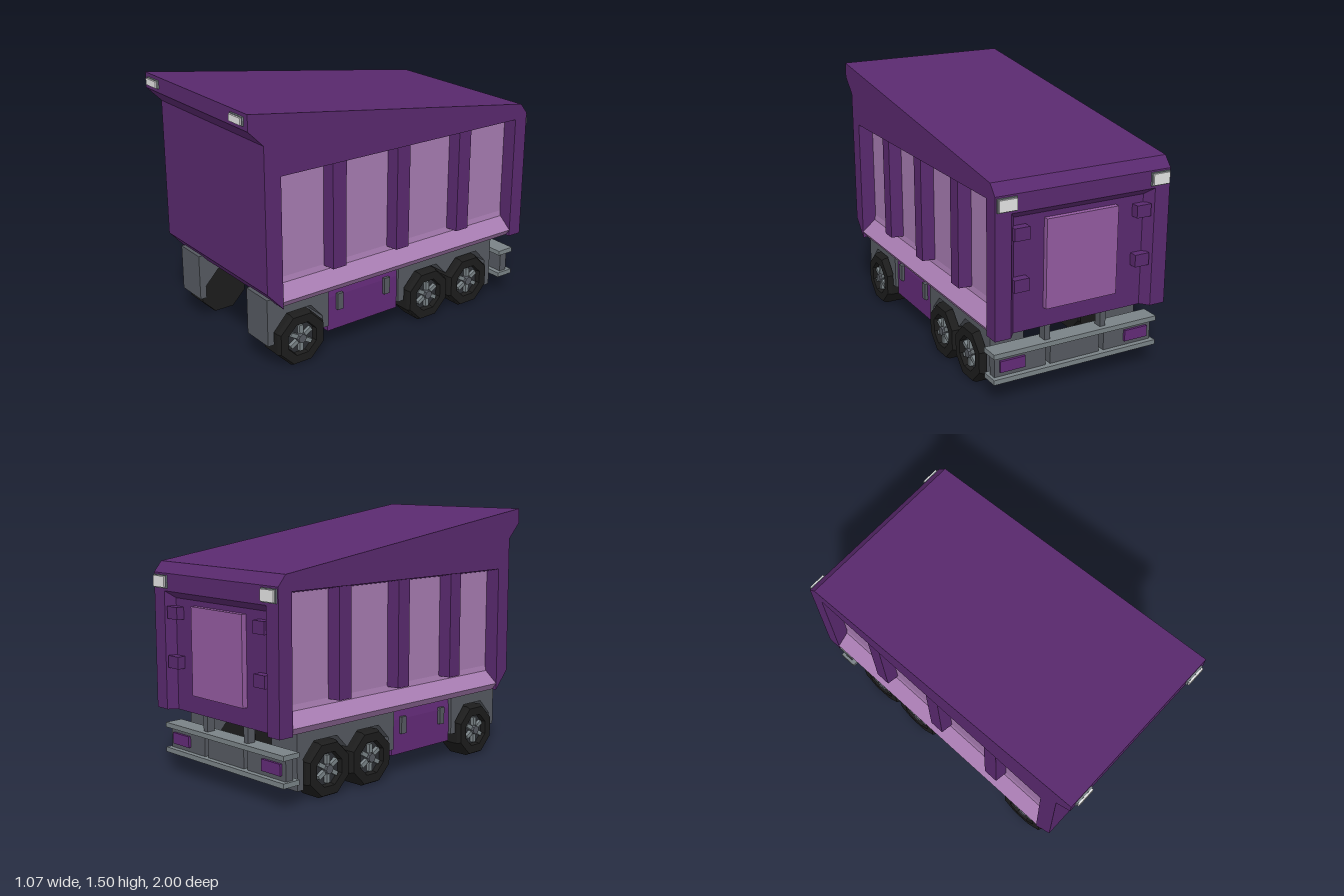
import * as THREE from 'three';

const mat = (name, color, side = THREE.FrontSide) => {
  const m = new THREE.MeshStandardMaterial({ color, side, flatShading: true });
  m.name = name;
  return m;
};

export function createModel() {
  const purple = mat('purple', 0x59296e, THREE.DoubleSide);
  const brightPurple = mat('bright purple', 0x622a77);
  const lilac = mat('lilac', 0xa67bb0);
  const plum = mat('plum', 0x925a9f);
  const darkGrey = mat('dark grey', 0x555960);
  const lightGrey = mat('light grey', 0x798286);
  const tyreBlack = mat('tyre black', 0x1c1c1c);
  const rimGrey = mat('rim grey', 0x2c2f33);
  const lampWhite = mat('lamp white', 0xe2e2e2);

  const root = new THREE.Group();
  root.name = 'tipperTrailer';

  const add = (name, geo, material, parent = root) => {
    const mesh = new THREE.Mesh(geo, material);
    mesh.name = name;
    parent.add(mesh);
    return mesh;
  };
  // Box from its limits on each axis
  const box = (name, material, [x0, x1], [y0, y1], [z0, z1]) => {
    const g = new THREE.BoxGeometry(Math.abs(x1 - x0), y1 - y0, z1 - z0);
    g.translate((x0 + x1) / 2, (y0 + y1) / 2, (z0 + z1) / 2);
    return add(name, g, material);
  };
  const extrude = (pts, depth) => new THREE.ExtrudeGeometry(
    new THREE.Shape(pts.map(p => new THREE.Vector2(p[0], p[1]))), { depth, bevelEnabled: false });
  // Side profile (z, y) extruded across x
  const acrossX = (name, material, pts, xa, xb) => {
    const x0 = Math.min(xa, xb), x1 = Math.max(xa, xb);
    return add(name, extrude(pts, x1 - x0).rotateY(-Math.PI / 2).translate(x1, 0, 0), material);
  };
  // Cross-section (x, y) extruded along z
  const alongZ = (name, material, pts, z0, z1, s) =>
    add(name, extrude(pts.map(([x, y]) => [x * s, y]), z1 - z0).translate(0, 0, z0), material);
  // Plan (x, z) extruded along y
  const alongY = (name, material, pts, y0, y1, s) =>
    add(name, extrude(pts.map(([x, z]) => [x * s, -z]), y1 - y0).rotateX(-Math.PI / 2).translate(0, y0, 0), material);
  // Open sheet following a side profile (z, y) from x = -w to x = w
  const sheet = (name, material, pts, w) => {
    const pos = [];
    for (let i = 0; i + 1 < pts.length; i++) {
      const [[z0, y0], [z1, y1]] = [pts[i], pts[i + 1]];
      pos.push(-w, y0, z0, w, y0, z0, w, y1, z1, -w, y0, z0, w, y1, z1, -w, y1, z1);
    }
    const g = new THREE.BufferGeometry();
    g.setAttribute('position', new THREE.Float32BufferAttribute(pos, 3));
    g.computeVertexNormals();
    return add(name, g, material);
  };

  const W = 0.535, IN = 0.44;

  // Hollow container, open underneath: front, roof and recessed tailgate
  sheet('containerShell', purple, [
    [0.79, 0.39], [0.89, 0.5], [0.89, 1.32], [0.98, 1.41], [0.98, 1.5],
    [-0.93, 1.23], [-0.98, 1.17], [-0.98, 1.07], [-0.93, 1.03], [-0.93, 0.39]], IN);
  box('tailgatePanel', plum, [-0.22, 0.22], [0.5, 1.0], [-0.962, -0.931]);

  // Octagonal tyre profile (radius, height along the axle) and rim
  const V = (x, y) => new THREE.Vector2(x, y);
  const turned = (pts) => new THREE.LatheGeometry(pts, 8, Math.PI / 8).rotateZ(-Math.PI / 2);
  const tyreGeo = turned([V(0, -0.078), V(0.16, -0.078), V(0.164, -0.07), V(0.164, 0.055),
    V(0.152, 0.077), V(0.1, 0.077), V(0.095, 0.045)]);
  const rimGeo = turned([V(0.095, 0.045), V(0, 0.045)]);
  const hubGeo = new THREE.CylinderGeometry(0.026, 0.03, 0.04, 8).rotateZ(-Math.PI / 2).translate(0.06, 0, 0);

  const addWheel = (s, z) => {
    const wheel = new THREE.Group();
    wheel.name = 'wheel';
    wheel.position.set(s * 0.42, 0.153, z);
    if (s < 0) wheel.rotation.y = Math.PI;
    add('tyre', tyreGeo, tyreBlack, wheel);
    add('rim', rimGeo, rimGrey, wheel);
    add('hub', hubGeo, darkGrey, wheel);
    for (let i = 0; i < 6; i++) {
      const spoke = new THREE.BoxGeometry(0.025, 0.05, 0.024).translate(0.055, 0.053, 0);
      add('spoke', spoke.rotateX(i * Math.PI / 3), lightGrey, wheel);
    }
    root.add(wheel);
  };

  for (const s of [1, -1]) {
    // Side frame around the recessed wall, open at the bottom
    acrossX('sideFrame', purple, [
      [0.98, 1.5], [0.98, 1.41], [0.89, 1.32], [0.89, 0.5], [0.79, 0.39],
      [0.79, 1.14], [-0.89, 1.14], [-0.89, 0.39],
      [-0.98, 0.39], [-0.98, 1.17], [-0.93, 1.23]], s * IN, s * W);
    box('sidePanel', lilac, [s * 0.435, s * 0.445], [0.45, 1.14], [-0.89, 0.79]);
    alongZ('recessLip', purple, [[IN, 1.14], [W, 1.14], [IN, 1.12]], -0.89, 0.79, s);
    alongZ('sideLedge', lilac, [[IN, 0.555], [0.452, 0.5], [W, 0.43], [0.505, 0.39], [IN, 0.39]], -0.89, 0.79, s);

    // Upright ribs with slanted flanks, showing through the wall inside
    for (const z of [0.405, -0.04, -0.5]) {
      alongY('sideRib', purple,
        [[0.432, z - 0.057], [0.52, z - 0.045], [0.52, z + 0.045], [0.432, z + 0.057]], 0.525, 1.14, s);
    }

    // Tailgate surround and hinges
    alongY('tailgateReveal', purple, [[IN, -0.98], [IN, -0.93], [0.4, -0.93]], 0.39, 1.07, s);
    for (const y of [0.67, 0.95]) {
      box('hinge', purple, [s * 0.33, s * 0.42], [y - 0.035, y + 0.035], [-0.978, -0.93]);
    }

    // Marker lamps
    box('frontLampFrame', lightGrey, [s * 0.38, s * 0.5], [1.433, 1.48], [0.975, 0.99]);
    box('frontLamp', lampWhite, [s * 0.386, s * 0.494], [1.438, 1.475], [0.985, 1.0]);
    box('rearLampFrame', lightGrey, [s * 0.41, s * 0.525], [1.085, 1.16], [-0.99, -0.975]);
    box('rearLamp', lampWhite, [s * 0.416, s * 0.519], [1.091, 1.154], [-1.0, -0.985]);

    // Mudguards with wheel arches
    acrossX('frontMudguard', darkGrey, [
      [0.85, 0.43], [0.85, 0.155], [0.81, 0.155], [0.81, 0.23], [0.725, 0.32], [0.565, 0.32],
      [0.485, 0.23], [0.485, 0.155], [0.445, 0.155], [0.445, 0.39], [0.78, 0.39], [0.81, 0.43]],
      s * 0.26, s * 0.465);
    acrossX('rearMudguard', darkGrey, [
      [-0.06, 0.39], [-0.06, 0.155], [-0.105, 0.155], [-0.105, 0.235], [-0.185, 0.32], [-0.355, 0.32],
      [-0.432, 0.24], [-0.51, 0.32], [-0.68, 0.32], [-0.757, 0.235], [-0.757, 0.065],
      [-0.8, 0.065], [-0.8, 0.39]], s * 0.26, s * 0.465);

    // Storage box with clasps between the axles
    alongZ('storageBox', brightPurple,
      [[0.28, 0.115], [0.45, 0.115], [0.45, 0.32], [0.44, 0.39], [0.28, 0.39]], -0.06, 0.44, s);
    for (const z of [0.36, 0.025]) {
      box('clasp', darkGrey, [s * 0.44, s * 0.467], [0.235, 0.335], [z - 0.02, z + 0.02]);
    }

    for (const z of [0.645, -0.27, -0.595]) addWheel(s, z);

    // Bumper posts, outer plates and reflectors
    box('bumperPost', darkGrey, [s * 0.16, s * 0.195], [0.29, 0.39], [-0.91, -0.86]);
    box('bumperOuterPlate', darkGrey, [s * 0.187, s * 0.5], [0.14, 0.275], [-0.91, -0.86]);
    box('reflector', brightPurple, [s * 0.32, s * 0.47], [0.175, 0.24], [-0.925, -0.9]);
  }

  // Rear bumper
  box('bumperCentrePlate', darkGrey, [-0.157, 0.157], [0.14, 0.275], [-0.91, -0.86]);
  for (const y of [0.12, 0.267]) {
    box('bumperRail', lightGrey, [-0.517, 0.517], [y, y + 0.028], [-0.94, -0.83]);
  }

  return root;
}
